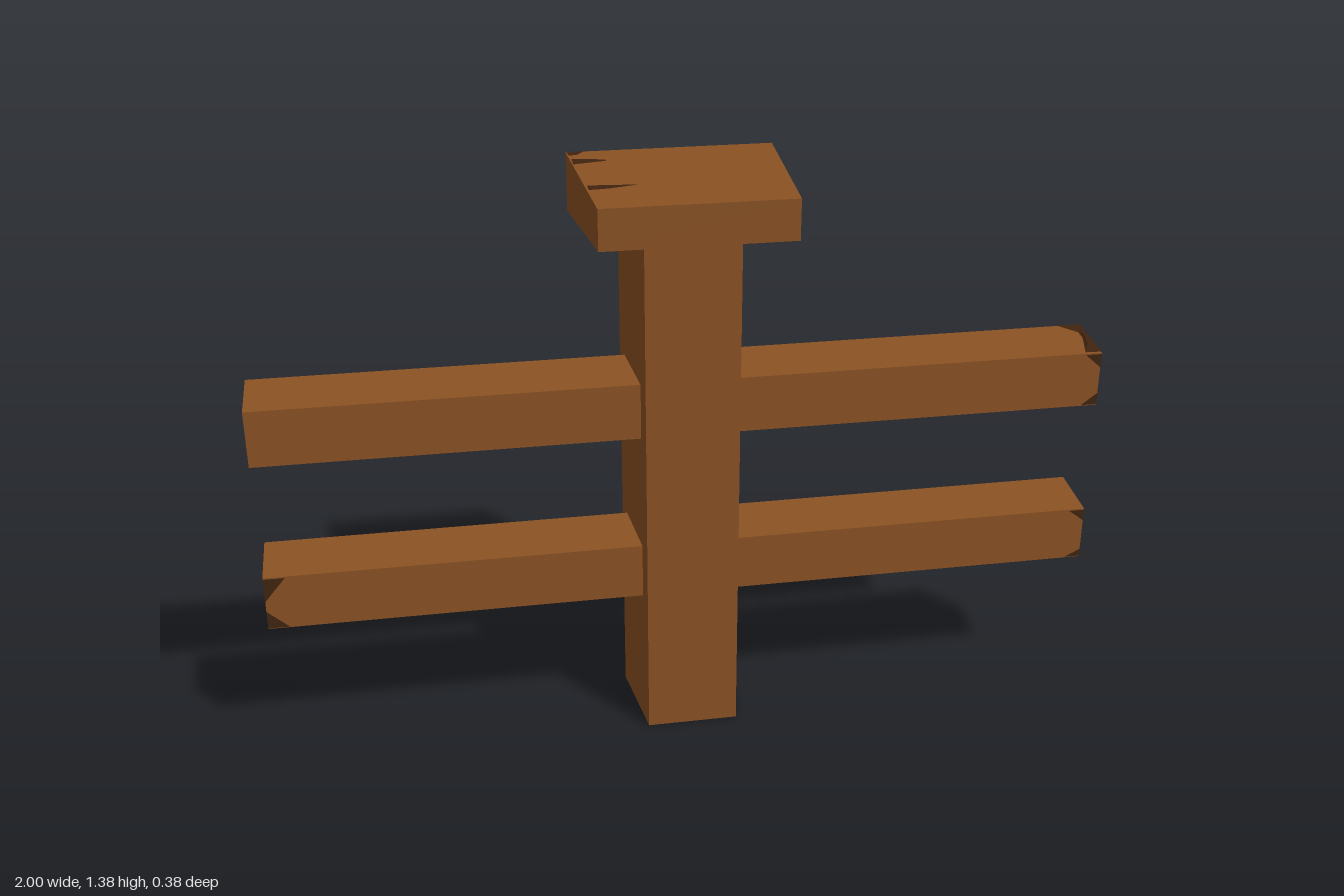
import * as THREE from 'three';

const wood = new THREE.MeshStandardMaterial({ color: 0x8a5123, side: THREE.DoubleSide });
wood.name = 'brown wood';
const darkWood = new THREE.MeshStandardMaterial({ color: 0x40240f, side: THREE.DoubleSide });
darkWood.name = 'dark wood';

// Box whose front (+z) face is scaled by sx, sy relative to its back face
function taperedBox(w, h, d, sx, sy) {
  const geo = new THREE.BoxGeometry(w, h, d);
  const p = geo.attributes.position;
  for (let i = 0; i < p.count; i++) {
    if (p.getZ(i) > 0) p.setXY(i, p.getX(i) * sx, p.getY(i) * sy);
  }
  geo.computeVertexNormals();
  return geo;
}

// Flat stain: a fan of triangles over a few corner points
function stain(name, points) {
  const index = [];
  for (let i = 1; i < points.length - 1; i++) index.push(0, i, i + 1);
  const geo = new THREE.BufferGeometry();
  geo.setAttribute('position', new THREE.Float32BufferAttribute(points.flat(), 3));
  geo.setIndex(index);
  geo.computeVertexNormals();
  const mesh = new THREE.Mesh(geo, darkWood);
  mesh.name = name;
  return mesh;
}

export function createModel() {
  const model = new THREE.Group();
  model.name = 'fencePost';
  const add = (name, geo, x, y) => {
    const mesh = new THREE.Mesh(geo, wood);
    mesh.name = name;
    mesh.position.set(x, y, 0);
    model.add(mesh);
  };

  // Hollow post, open at both ends
  const postGeo = taperedBox(0.27, 1.245, 0.23, 0.11 / 0.135, 1);
  const faces = Array.from(postGeo.index.array);
  postGeo.setIndex([...faces.slice(0, 12), ...faces.slice(24)]);
  postGeo.clearGroups();
  add('post', postGeo, 0, 0.6225);

  // Cap
  add('cap', taperedBox(0.484, 0.137, 0.385, 0.22 / 0.242, 0.094 / 0.137), 0, 1.308);

  // Two rails on each side
  const rails = { lower: 0.415, upper: 0.832 };
  for (const [level, y] of Object.entries(rails)) {
    for (const side of [-1, 1]) {
      add(`${level}${side > 0 ? 'Left' : 'Right'}Rail`,
        taperedBox(0.89, 0.173, 0.143, 1, 0.135 / 0.173), side * 0.555, y);
    }
  }

  // Stains at the rail ends: corners on the front faces
  const corner = (x, y, dx, dy) => model.add(stain('railStain',
    [[x, y, 0.0735], [x + dx, y, 0.0735], [x, y + dy, 0.0735]]));
  corner(1, 0.897, -0.04, -0.035);
  corner(1, 0.767, -0.04, 0.03);
  corner(1, 0.48, -0.04, -0.03);
  corner(1, 0.35, -0.04, 0.02);
  corner(-1, 0.48, 0.05, -0.06);
  corner(-1, 0.35, 0.05, 0.045);

  // Top of the upper left rail
  model.add(stain('railTopStain', [[1, 0.92, -0.07], [1, 0.902, 0.07],
    [0.96, 0.902, 0.068], [0.98, 0.908, 0.03], [0.98, 0.915, -0.03], [0.94, 0.92, -0.07]]));

  // Back faces of the rails
  const back = (points) => model.add(stain('railBackStain', points.map(([x, y]) => [x, y, -0.0735])));
  back([[1, 0.916], [1, 0.748], [0.95, 0.75], [0.97, 0.78], [0.94, 0.83], [0.97, 0.88], [0.94, 0.916]]);
  back([[1, 0.33], [1, 0.39], [0.94, 0.335]]);
  back([[-1, 0.33], [-0.95, 0.37], [-0.66, 0.41], [-0.8, 0.36], [-0.9, 0.33]]);

  // End of the lower right rail
  model.add(stain('railEndStain', [[-1.001, 0.498, -0.07], [-1.001, 0.481, 0.07],
    [-1.001, 0.45, 0.06], [-1.001, 0.46, -0.03], [-1.001, 0.44, -0.07]]));

  // Cap top
  const capTop = (points) => model.add(stain('capStain',
    points.map(([x, z]) => [x, 1.357 - z * 0.056 + 0.01, z])));
  capTop([[-0.24, -0.19], [-0.2, -0.19], [-0.22, -0.165], [-0.238, -0.165]]);
  capTop([[-0.235, -0.14], [-0.16, -0.125], [-0.16, -0.115], [-0.235, -0.1]]);
  capTop([[-0.223, 0.045], [-0.11, 0.055], [-0.18, 0.072], [-0.223, 0.075]]);

  // Cracks down the left side of the post
  const crack = (points) => model.add(stain('postCrack',
    points.map(([z, y]) => [0.1245 - z * 0.109, y, z])));
  crack([[0.065, 1.243], [0.03, 1.243], [0.052, 1.19], [0.065, 1.19]]);
  crack([[0.065, 1.19], [0.052, 1.19], [0.053, 1.05], [0.062, 1.05]]);

  return model;
}
